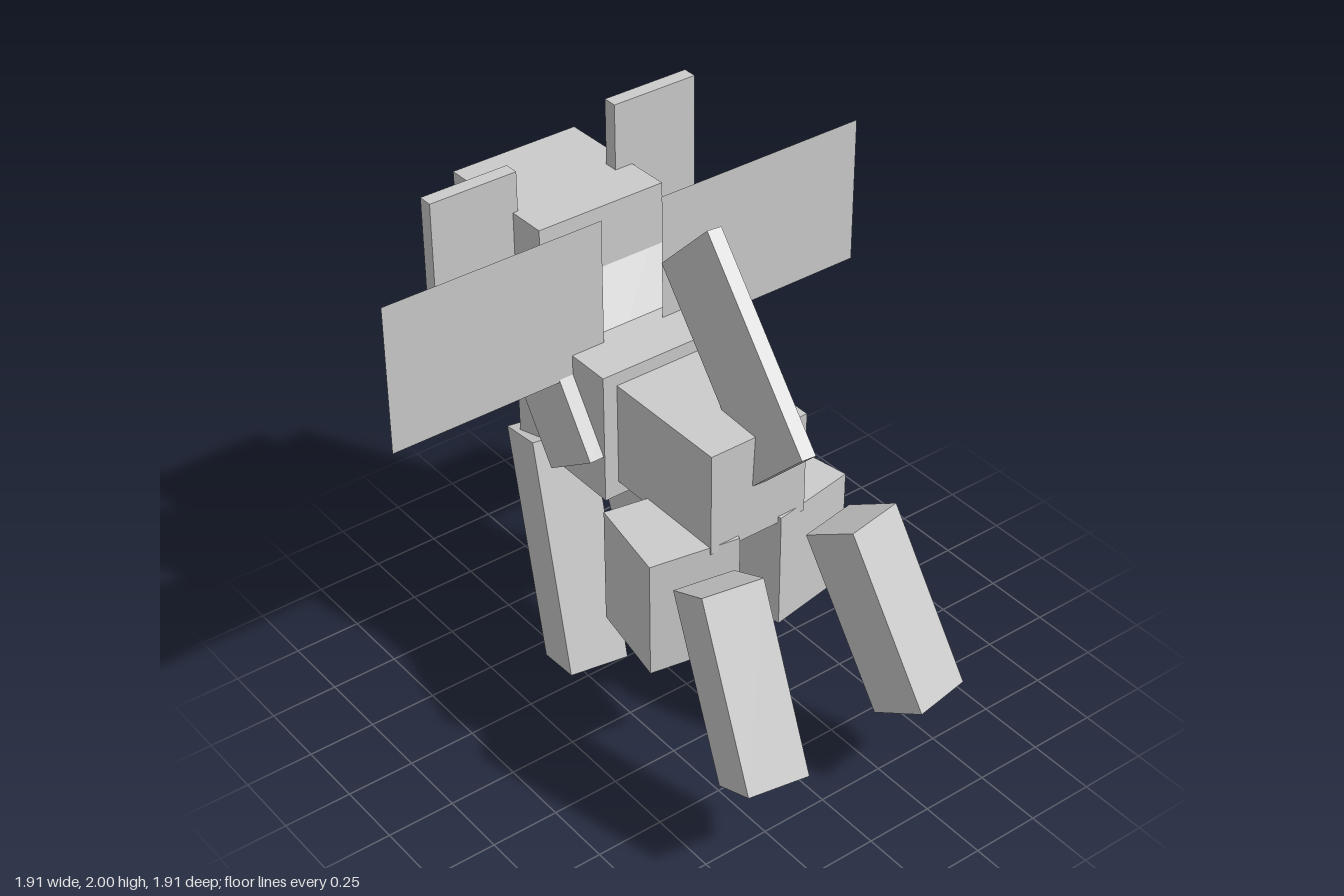
import * as THREE from 'three';

const rad = THREE.MathUtils.degToRad;

export function createModel() {
  const model = new THREE.Group();
  model.name = 'blockyCreature';
  const grey = new THREE.MeshStandardMaterial({ color: 0xcccccc, flatShading: true });
  const thin = new THREE.MeshStandardMaterial({ color: 0xcccccc, side: THREE.DoubleSide });

  // Box from size, centre and rotation in degrees (yaw applied outside pitch, then roll)
  function box(name, size, pos, pitch = 0, yaw = 0, roll = 0) {
    const mesh = new THREE.Mesh(new THREE.BoxGeometry(...size), grey);
    mesh.name = name;
    mesh.position.set(...pos);
    mesh.rotation.set(rad(pitch), rad(yaw), rad(roll), 'YXZ');
    model.add(mesh);
  }

  // Torso and head, facing -z
  box('body', [0.39, 0.39, 0.5], [0, 1.115, 0.13]);
  box('chest', [0.5, 0.495, 0.5], [0, 1.1125, -0.37]);
  box('neck', [0.61, 0.724, 0.277], [0, 1.265, -0.443], -34);
  box('head', [0.5, 0.505, 0.5], [0, 1.5, -0.703], -1.1);

  // Ears sit at uneven heights
  box('leftEar', [0.335, 0.665, 0.053], [0.348, 1.668, -0.65]);
  box('rightEar', [0.335, 0.665, 0.053], [-0.398, 1.57, -0.632]);

  // Raised tail, leaning slightly sideways
  box('tail', [0.055, 0.78, 0.335], [0.027, 1.515, 0.228], -45, 0, -3.9);

  // Paired limbs and wings
  for (const [side, s] of [['left', 1], ['right', -1]]) {
    box(side + 'Thigh', [0.33, 0.445, 0.33], [0.22 * s, 0.7225, 0.203], 0, 10 * s);
    box(side + 'HindLeg', [0.222, 0.667, 0.222], [0.305 * s, 0.638, 0.68], -28.7, 10 * s);
    box(side + 'FrontLeg', [0.222, 0.889, 0.222], [0.19 * s, 0.461, -0.4375], -16.7, 10 * s);

    const wing = new THREE.Mesh(new THREE.PlaneGeometry(0.833, 0.553), thin);
    wing.name = side + 'Wing';
    wing.position.set(0.538 * s, 1.552, -0.29);
    model.add(wing);
  }
  return model;
}
